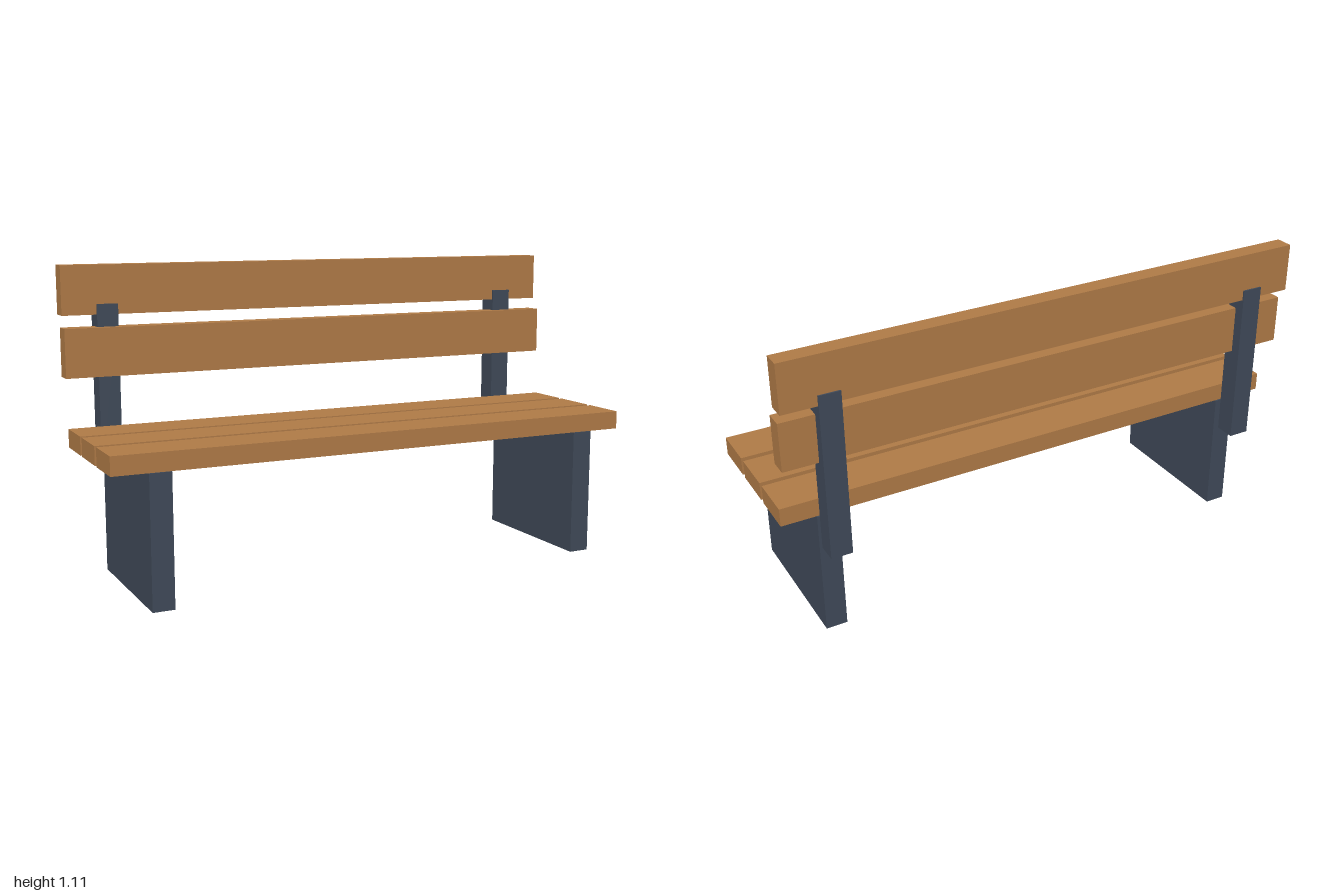
import * as THREE from 'three';

export function createModel() {
  const bench = new THREE.Group();
  bench.name = 'bench';

  const wood = new THREE.MeshStandardMaterial({ color: 0xb07b47 });
  wood.name = 'wood';
  const slate = new THREE.MeshStandardMaterial({ color: 0x404a59 });
  slate.name = 'slate metal';

  // Box given by its centre x, width, and y and z ranges
  function addBox(name, material, x, width, [y0, y1], [z0, z1]) {
    const mesh = new THREE.Mesh(new THREE.BoxGeometry(width, y1 - y0, z1 - z0), material);
    mesh.position.set(x, (y0 + y1) / 2, (z0 + z1) / 2);
    mesh.name = name;
    bench.add(mesh);
  }

  // Seat: three planks with narrow gaps
  [0.243, 0.053, -0.136].forEach((z, i) => {
    addBox(`seatPlank${i + 1}`, wood, 0, 2, [0.468, 0.535], [z - 0.0835, z + 0.0835]);
  });

  // Backrest: lower board in front of the posts, upper board set into their tops
  addBox('lowerBackBoard', wood, 0, 2, [0.714, 0.891], [-0.292, -0.225]);
  addBox('upperBackBoard', wood, 0, 2, [0.935, 1.113], [-0.325, -0.259]);

  // Slab legs and back posts, mirrored
  for (const [side, sign] of [['left', 1], ['right', -1]]) {
    addBox(`${side}Leg`, slate, sign * 0.835, 0.078, [0, 0.468], [-0.225, 0.332]);
    addBox(`${side}BackPost`, slate, sign * 0.835, 0.078, [0.362, 0.973], [-0.331, -0.253]);
  }

  return bench;
}
